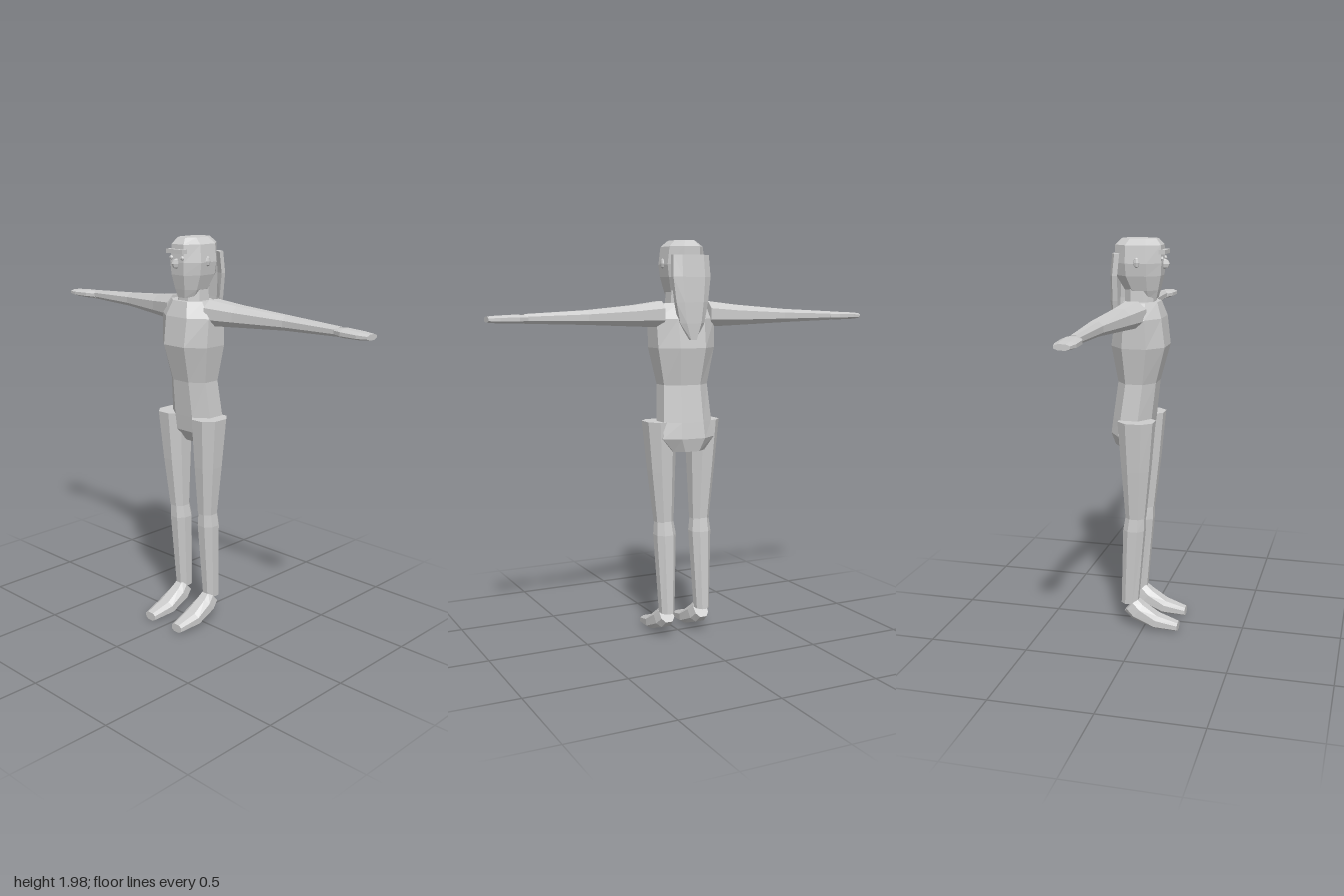
import * as THREE from 'three';

const V = (x, y, z) => new THREE.Vector3(x, y, z);

// Closed faceted solid through a row of equal-length rings of points
function loft(rings) {
  const tris = [], n = rings[0].length;
  for (let i = 0; i < rings.length - 1; i++) {
    for (let j = 0; j < n; j++) {
      const k = (j + 1) % n, a = rings[i], b = rings[i + 1];
      tris.push([a[j], b[j], b[k]], [a[j], b[k], a[k]]);
    }
  }
  const first = rings[0], last = rings[rings.length - 1];
  for (let j = 1; j < n - 1; j++) {
    tris.push([first[0], first[j], first[j + 1]], [last[0], last[j + 1], last[j]]);
  }
  // Turn every face outward, whichever way the rings run
  const c = V(0, 0, 0);
  rings.flat().forEach((p) => c.add(p));
  c.divideScalar(rings.length * n);
  let volume = 0;
  for (const [p, q, r] of tris) {
    volume += p.clone().sub(c).dot(q.clone().sub(c).cross(r.clone().sub(c)));
  }
  if (volume < 0) tris.forEach((t) => t.reverse());
  const geo = new THREE.BufferGeometry().setFromPoints(tris.flat());
  geo.computeVertexNormals();
  return geo;
}

// Eight-sided outline in a box: u0..u1 by v0..v1, with corners cut
function octagon(u0, u1, v0, v1, flat = 0.45) {
  const cu = (u0 + u1) / 2, cv = (v0 + v1) / 2, hu = (u1 - u0) / 2, hv = (v1 - v0) / 2;
  return [[flat, 1], [1, flat], [1, -flat], [flat, -1], [-flat, -1], [-1, -flat], [-1, flat], [-flat, 1]]
    .map(([a, b]) => [cu + a * hu, cv + b * hv]);
}

// Rows of [y, xMin, xMax, zFront, zBack], stacked upward
const stack = (rows, flat) => loft(rows.map(([y, x0, x1, zf, zb]) =>
  octagon(x0, x1, zb, zf, flat).map(([x, z]) => V(x, y, z))));

function faceted(geo) {
  const g = geo.toNonIndexed();
  g.computeVertexNormals();
  return g;
}

export function createModel() {
  const model = new THREE.Group();
  model.name = 'figure';
  const grey = new THREE.MeshStandardMaterial({ color: 0xcccccc });
  grey.name = 'plain grey';

  function add(name, geo, x = 0, y = 0, z = 0) {
    const mesh = new THREE.Mesh(geo, grey);
    mesh.name = name;
    mesh.position.set(x, y, z);
    model.add(mesh);
    return mesh;
  }
  const sym = (rows) => rows.map(([y, w, zf, zb]) => [y, -w, w, zf, zb]);

  // Torso and pelvis in one body
  add('torso', stack(sym([
    [0.955, 0.085, -0.03, -0.16],
    [1.02, 0.14, 0.02, -0.175],
    [1.10, 0.13, 0.03, -0.165],
    [1.28, 0.118, 0.05, -0.14],
    [1.46, 0.152, 0.097, -0.17],
    [1.60, 0.157, 0.08, -0.15],
    [1.675, 0.105, 0.055, -0.115],
  ])));

  // Neck and head
  add('neck', stack(sym([[1.65, 0.075, 0.035, -0.11], [1.75, 0.068, 0.03, -0.11]])));
  add('head', stack(sym([
    [1.69, 0.05, 0.045, -0.085],
    [1.73, 0.07, 0.055, -0.11],
    [1.80, 0.092, 0.07, -0.15],
    [1.86, 0.1, 0.074, -0.155],
    [1.945, 0.09, 0.07, -0.155],
    [1.975, 0.055, 0.045, -0.125],
  ])));

  // Face
  add('brow', faceted(new THREE.BoxGeometry(0.11, 0.02, 0.03)), 0, 1.913, 0.078);
  add('nose', faceted(new THREE.SphereGeometry(1, 6, 4).scale(0.012, 0.025, 0.03)), 0, 1.855, 0.078);
  for (const s of [1, -1]) {
    add('eye', faceted(new THREE.SphereGeometry(0.011, 6, 4)), s * 0.037, 1.882, 0.074);
    add('ear', faceted(new THREE.SphereGeometry(1, 8, 4).scale(0.01, 0.025, 0.016)), s * 0.099, 1.865, -0.035);
  }

  // Long hair: a curved sheet hanging down the back, rows of [y, half width, zBack]
  add('hair', loft([
    [1.905, 0.095, -0.165], [1.80, 0.1, -0.175], [1.68, 0.085, -0.178], [1.58, 0.065, -0.178], [1.50, 0.025, -0.175],
  ].map(([y, w, z]) => [
    [w, z + 0.045], [w, z + 0.02], [w * 0.6, z], [-w * 0.6, z],
    [-w, z + 0.02], [-w, z + 0.045], [-w * 0.55, z + 0.025], [w * 0.55, z + 0.025],
  ].map(([x, zz]) => V(x, y, zz)))));

  for (const s of [1, -1]) {
    const side = s > 0 ? 'left' : 'right';

    // Arm and hand: rows of [x, yMin, yMax, zBack, zFront]
    const along = (rows) => loft(rows.map(([x, y0, y1, z0, z1]) =>
      octagon(z0, z1, y0, y1).map(([z, y]) => V(s * x, y, z))));
    add(side + 'Arm', along([
      [0.125, 1.56, 1.685, -0.12, 0.02],
      [0.27, 1.566, 1.667, -0.132, -0.02],
      [0.53, 1.578, 1.645, -0.153, -0.075],
      [0.83, 1.587, 1.63, -0.138, -0.093],
    ]));
    add(side + 'Hand', along([
      [0.815, 1.59, 1.625, -0.142, -0.085],
      [0.86, 1.588, 1.628, -0.16, -0.067],
      [0.95, 1.59, 1.624, -0.158, -0.064],
      [1.0, 1.594, 1.62, -0.146, -0.075],
    ]));

    // Thigh and shin, meeting at the knee
    const leg = (rows) => stack(rows.map(([y, a, b, zf, zb]) =>
      [y, Math.min(s * a, s * b), Math.max(s * a, s * b), zf, zb]));
    add(side + 'Thigh', leg([
      [0.595, 0.055, 0.145, 0.008, -0.09],
      [0.85, 0.048, 0.172, 0.035, -0.105],
      [1.10, 0.04, 0.195, 0.057, -0.12],
    ]));
    add(side + 'Shin', leg([
      [0.13, 0.064, 0.133, -0.03, -0.115],
      [0.53, 0.047, 0.15, 0.005, -0.102],
      [0.60, 0.057, 0.143, 0.005, -0.09],
    ]));

    // Foot: slanted sections from ankle to toe, [half width, zTop, yTop, zBottom, yBottom]
    add(side + 'Foot', loft([
      [0.036, -0.035, 0.155, -0.1, 0.085],
      [0.047, 0.0, 0.125, -0.06, 0.05],
      [0.052, 0.075, 0.075, 0.06, 0.008],
      [0.034, 0.18, 0.042, 0.18, 0.0],
    ].map(([w, zt, yt, zb, yb]) => octagon(-w, w, 0, 1, 0.5).map(([x, t]) =>
      V(s * 0.097 + x, yb + (yt - yb) * t, zb + (zt - zb) * t)))));
  }
  return model;
}
